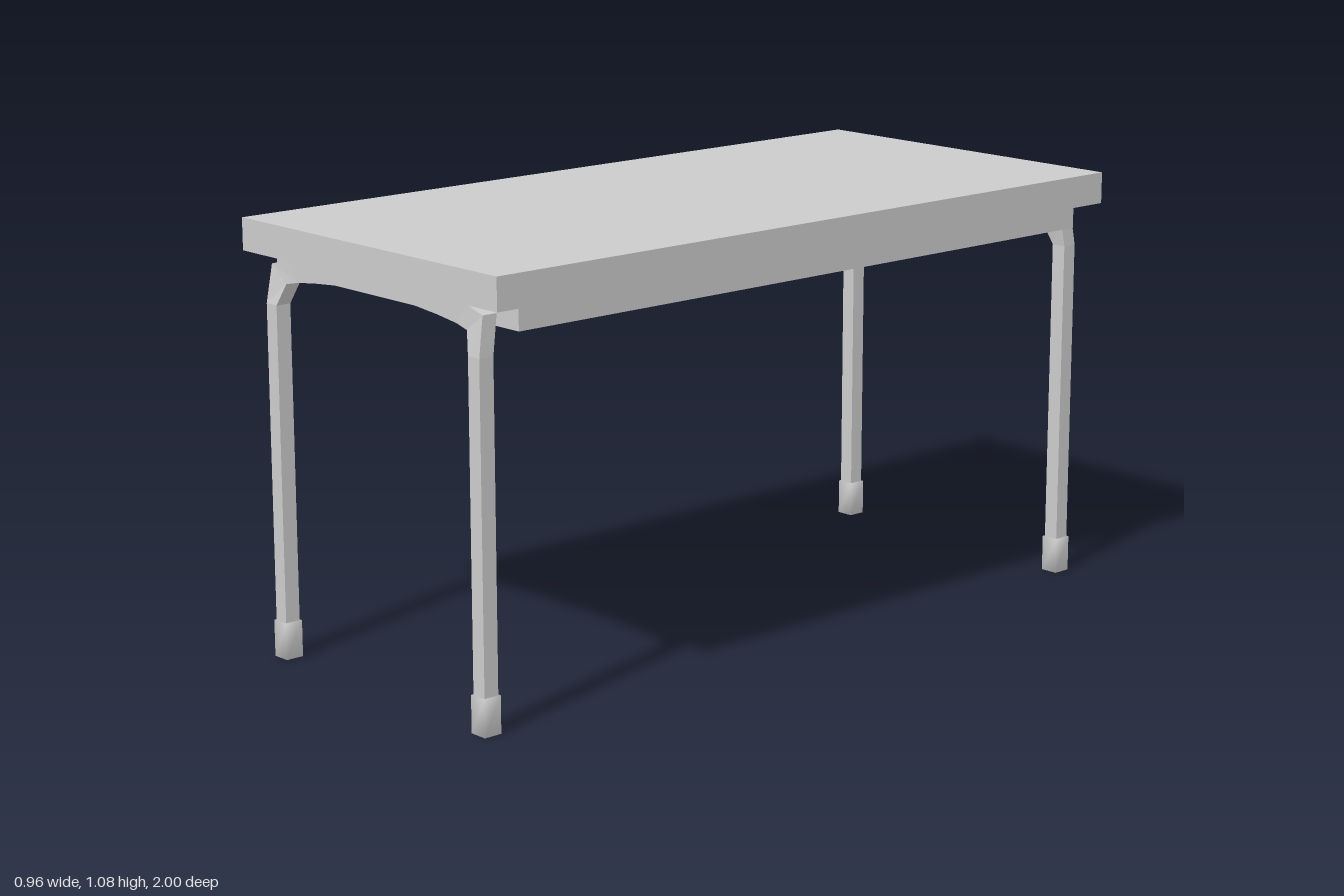
import * as THREE from 'three';
import { mergeVertices } from 'three/addons/utils/BufferGeometryUtils.js';

const flat = new THREE.MeshStandardMaterial({ color: 0xcccccc, flatShading: true });
const smooth = new THREE.MeshStandardMaterial({ color: 0xcccccc });

function box(name, w, h, d, y) {
  const mesh = new THREE.Mesh(new THREE.BoxGeometry(w, h, d), flat);
  mesh.name = name;
  mesh.position.y = y;
  return mesh;
}

// One end frame: a square bar swept up a leg, across the arch and down again
function frameGeometry() {
  // outer x, outer y, inner x, inner y, back z, front z
  const half = [
    [0.403, 0.02, 0.363, 0.02, 0.95, 0.99],
    [0.403, 0.88, 0.363, 0.88, 0.95, 0.99],
    [0.398, 0.975, 0.342, 0.933, 0.935, 0.975],
    [0.34, 0.99, 0.3, 0.942, 0.935, 0.972],
    [0.25, 0.993, 0.23, 0.951, 0.935, 0.972],
    [0.13, 0.995, 0.13, 0.96, 0.935, 0.972],
  ];
  const mirrored = half.map(([ox, oy, ix, iy, b, f]) => [-ox, oy, -ix, iy, b, f]).reverse();
  const rings = [...half, ...mirrored].map(([ox, oy, ix, iy, b, f]) => [
    [ox, oy, f], [ox, oy, b], [ix, iy, b], [ix, iy, f],
  ]);
  const pos = [];
  for (let i = 0; i < rings.length - 1; i++) {
    for (let k = 0; k < 4; k++) {
      const n = (k + 1) % 4;
      const a = rings[i][k], b = rings[i][n], c = rings[i + 1][n], d = rings[i + 1][k];
      pos.push(...a, ...b, ...c, ...a, ...c, ...d);
    }
  }
  const geo = new THREE.BufferGeometry();
  geo.setAttribute('position', new THREE.Float32BufferAttribute(pos, 3));
  geo.computeVertexNormals();
  return geo;
}

// Rubber foot: a block with softly shaded, shared corners
function footGeometry() {
  let geo = new THREE.BoxGeometry(0.048, 0.092, 0.048);
  geo.deleteAttribute('normal');
  geo.deleteAttribute('uv');
  geo = mergeVertices(geo);
  geo.computeVertexNormals();
  return geo;
}

export function createModel() {
  const table = new THREE.Group();
  table.name = 'table';
  table.add(box('tableTop', 0.96, 0.08, 2, 1.038));
  table.add(box('apron', 0.912, 0.058, 1.84, 0.969));

  const frameGeo = frameGeometry();
  const footGeo = footGeometry();
  for (const end of ['front', 'back']) {
    const legs = new THREE.Group();
    legs.name = end + 'Legs';
    const frame = new THREE.Mesh(frameGeo, flat);
    frame.name = end + 'LegFrame';
    legs.add(frame);
    for (const side of [-1, 1]) {
      const foot = new THREE.Mesh(footGeo, smooth);
      foot.name = end + 'Foot';
      foot.position.set(side * 0.383, 0.046, 0.97);
      legs.add(foot);
    }
    if (end === 'back') legs.rotation.y = Math.PI;
    table.add(legs);
  }
  return table;
}
